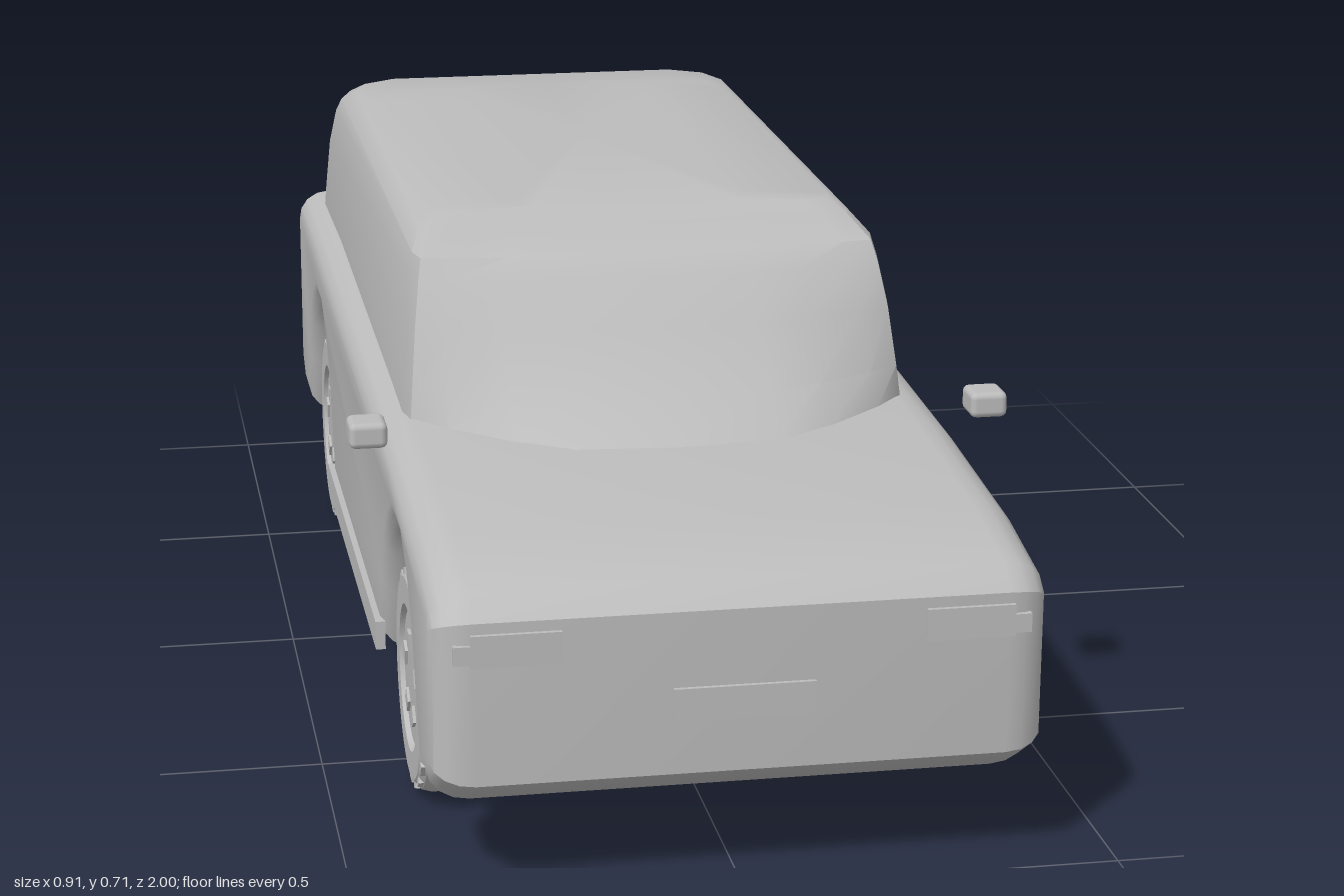
import * as THREE from 'three';
import { toCreasedNormals } from 'three/addons/utils/BufferGeometryUtils.js';
import { RoundedBoxGeometry } from 'three/addons/geometries/RoundedBoxGeometry.js';

const paint = new THREE.MeshStandardMaterial({ color: 0xbcbcbc, side: THREE.DoubleSide });
paint.name = 'grey paint';

function add(parent, name, geometry, x = 0, y = 0, z = 0) {
  const mesh = new THREE.Mesh(geometry, paint);
  mesh.name = name;
  mesh.position.set(x, y, z);
  parent.add(mesh);
  return mesh;
}

const box = (w, h, d) => new THREE.BoxGeometry(w, h, d);

// Side outline with wheel arches, extruded across the car with rounded flanks
function bodyGeometry() {
  const half = [[0.222, 0.115], [0.175, 0.21], [0.145, 0.275], [0.1, 0.325], [0.045, 0.354]];
  const arch = (c) => [
    ...half.map(([d, y]) => [c - d, y]),
    ...half.slice().reverse().map(([d, y]) => [c + d, y]),
  ];
  const outline = [
    [-0.99, 0.16], [-0.92, 0.115], ...arch(-0.587), ...arch(0.595), [0.92, 0.115], [0.99, 0.16],
    [0.992, 0.38], [0.955, 0.408], [0.8, 0.435], [0.5, 0.455], [0.2, 0.464], [-0.6, 0.476], [-0.985, 0.468],
  ];
  const shape = new THREE.Shape(outline.map(([z, y]) => new THREE.Vector2(z, y)));
  const g = new THREE.ExtrudeGeometry(shape, {
    depth: 0.69, bevelEnabled: true, bevelThickness: 0.055, bevelSize: 0.04, bevelOffset: -0.04, bevelSegments: 4,
  });
  g.translate(0, 0, -0.345);
  g.rotateY(-Math.PI / 2);
  return toCreasedNormals(g, 0.6);
}

// Cabin lofted upward; each level is y, screen centre z, pillar z, half width, rear z
function cabinGeometry() {
  const levels = [
    [0.43, 0.57, 0.37, 0.362, -0.985], [0.455, 0.54, 0.37, 0.361, -0.988], [0.5, 0.46, 0.36, 0.357, -0.99],
    [0.58, 0.39, 0.335, 0.349, -0.988], [0.64, 0.335, 0.305, 0.34, -0.955], [0.668, 0.305, 0.285, 0.334, -0.915],
    [0.69, 0.225, 0.215, 0.315, -0.86], [0.7, 0.165, 0.16, 0.298, -0.74], [0.705, 0.15, 0.15, 0.17, -0.72],
  ];
  const pos = [], index = [];
  let n = 0;
  for (const [y, zf, zc, w, zr] of levels) {
    const mix = (t) => zf + (zc - zf) * t;
    const right = [
      [0, zf], [w * 0.4, mix(0.06)], [w * 0.62, mix(0.3)], [w * 0.85, mix(0.7)], [w - 0.008, zc],
      [w, zc - 0.04], [w, zr + 0.1], [w - 0.022, zr + 0.035], [w - 0.075, zr], [0, zr],
    ];
    const left = right.slice(1, -1).reverse().map(([x, z]) => [-x, z]);
    const ring = [...right, ...left];
    n = ring.length;
    ring.forEach(([x, z]) => pos.push(x, y, z));
  }
  for (let i = 0; i < levels.length - 1; i++) {
    for (let j = 0; j < n; j++) {
      const a = i * n + j, b = i * n + (j + 1) % n;
      index.push(a, b, b + n, a, b + n, a + n);
    }
  }
  // roof centre
  const top = (levels.length - 1) * n;
  pos.push(0, 0.706, -0.3);
  for (let j = 0; j < n; j++) index.push(top + j, top + (j + 1) % n, top + n);
  const g = new THREE.BufferGeometry();
  g.setAttribute('position', new THREE.Float32BufferAttribute(pos, 3));
  g.setIndex(index);
  return toCreasedNormals(g, 0.55);
}

// Wheel with its outer face along +x
function makeWheel(name) {
  const wheel = new THREE.Group();
  wheel.name = name;
  const profile = [
    [0, 0.01], [0.025, 0.01], [0.085, -0.04], [0.1, -0.052], [0.14, -0.052], [0.153, -0.042], [0.157, -0.028],
    [0.157, 0.028], [0.153, 0.042], [0.14, 0.052], [0.102, 0.052], [0.098, 0.04], [0.092, 0.046], [0, 0.048],
  ].map(([r, a]) => new THREE.Vector2(r, a));
  const tyre = new THREE.LatheGeometry(profile, 32);
  tyre.rotateZ(-Math.PI / 2);
  add(wheel, 'tyre and rim', toCreasedNormals(tyre, 0.6));
  // wheel nuts and tread blocks
  for (let i = 0; i < 5; i++) {
    const a = (i / 5) * Math.PI * 2;
    add(wheel, 'rim boss', box(0.006, 0.024, 0.024), 0.048, Math.cos(a) * 0.055, Math.sin(a) * 0.055).rotation.x = a;
  }
  for (let i = 0; i < 20; i++) {
    const a = (i / 20) * Math.PI * 2;
    add(wheel, 'tread block', box(0.014, 0.01, 0.022), 0.043, Math.cos(a) * 0.146, Math.sin(a) * 0.146).rotation.x = a;
  }
  return wheel;
}

export function createModel() {
  const car = new THREE.Group();
  car.name = 'car';
  add(car, 'body', bodyGeometry());
  add(car, 'cabin', cabinGeometry());

  // Number plates and rear bumper lip
  add(car, 'frontPlate', box(0.184, 0.044, 0.008), 0, 0.256, 0.993);
  add(car, 'rearPlate', box(0.184, 0.044, 0.008), 0, 0.256, -0.991);
  add(car, 'rearBumperLip', box(0.68, 0.024, 0.016), 0, 0.168, -0.99);

  for (const s of [1, -1]) {
    const side = s > 0 ? 'left' : 'right';
    add(car, side + 'Headlight', box(0.116, 0.043, 0.012), s * 0.293, 0.344, 0.992);
    add(car, side + 'FrontMarker', box(0.024, 0.025, 0.026), s * 0.361, 0.339, 0.983);
    add(car, side + 'TailLight', box(0.078, 0.042, 0.03), s * 0.344, 0.39, -0.984);
    add(car, side + 'Sill', box(0.014, 0.042, 0.745), s * 0.402, 0.139, 0.002);
    add(car, side + 'Mirror', new RoundedBoxGeometry(0.052, 0.036, 0.056, 2, 0.009), s * 0.431, 0.496, 0.537);

    for (const [end, z] of [['Front', 0.59], ['Rear', -0.587]]) {
      const wheel = makeWheel(side + end + 'Wheel');
      wheel.position.set(s * 0.335, 0.157, z);
      if (s < 0) wheel.rotation.y = Math.PI;
      car.add(wheel);
    }
  }
  return car;
}
